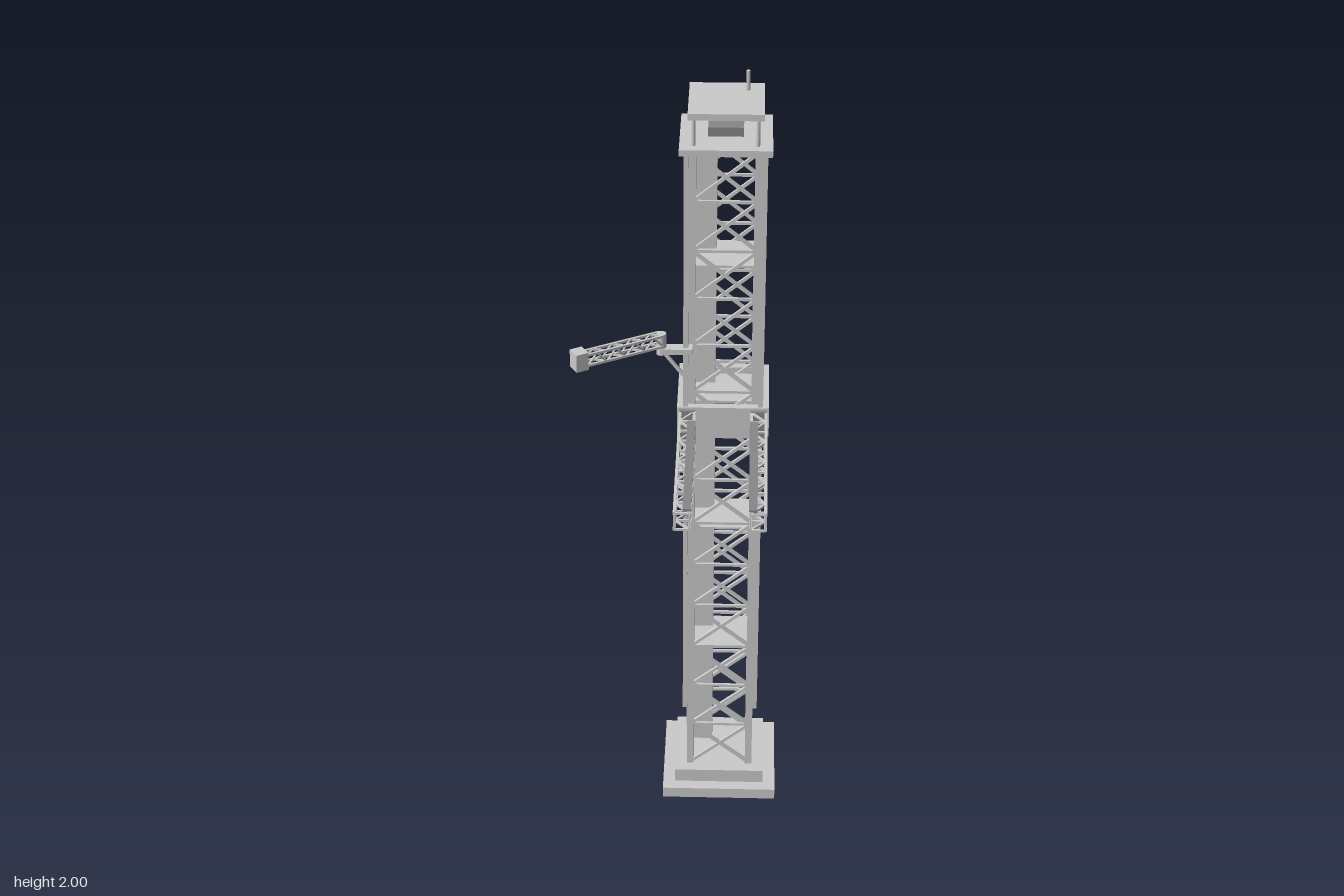
import * as THREE from 'three';

const grey = new THREE.MeshStandardMaterial({ color: 0xcccccc, flatShading: true });
const dark = new THREE.MeshStandardMaterial({ color: 0x888888, flatShading: true });
const CX = 0.106, CZ = -0.217; // tower axis
const V = (x, y, z) => new THREE.Vector3(x, y, z);

export function createModel() {
  const model = new THREE.Group();

  const group = (name, parent = model) => {
    const g = new THREE.Group();
    g.name = name;
    parent.add(g);
    return g;
  };
  // box given by its minimum and maximum on each axis
  const box = (parent, name, x0, x1, y0, y1, z0, z1, mat = grey) => {
    const m = new THREE.Mesh(new THREE.BoxGeometry(x1 - x0, y1 - y0, z1 - z0), mat);
    m.position.set((x0 + x1) / 2, (y0 + y1) / 2, (z0 + z1) / 2);
    m.name = name;
    parent.add(m);
    return m;
  };
  // square slab centred on the tower axis
  const slab = (parent, name, half, y0, y1, halfZ = half) =>
    box(parent, name, CX - half, CX + half, y0, y1, CZ - halfZ, CZ + halfZ);
  // square bar between two points
  const beam = (parent, name, a, b, t) => {
    const m = new THREE.Mesh(new THREE.BoxGeometry(t, t, a.distanceTo(b)), grey);
    m.position.copy(a).lerp(b, 0.5);
    m.lookAt(b);
    m.name = name;
    parent.add(m);
  };
  const rod = (parent, name, x, z, y0, y1, r, sides = 10) => {
    const m = new THREE.Mesh(new THREE.CylinderGeometry(r, r, y1 - y0, sides), grey);
    m.position.set(x, (y0 + y1) / 2, z);
    m.name = name;
    parent.add(m);
  };

  // stepped foundation
  const base = group('base');
  slab(base, 'basePlate', 0.15, 0, 0.03);
  slab(base, 'baseStep', 0.118, 0.03, 0.068);

  // lattice tower: four legs, cross-braced bays on every side
  const tower = group('tower');
  const H = 0.078, Y0 = 0.068, Y1 = 1.85, BAYS = 14, pitch = (Y1 - Y0) / BAYS;
  const corners = [[-1, -1], [1, -1], [1, 1], [-1, 1]].map(([i, j]) => [CX + i * H, CZ + j * H]);
  corners.forEach(([x, z], k) => {
    box(tower, 'towerLeg', x - 0.009, x + 0.009, Y0, Y1, z - 0.009, z + 0.009);
    const [u, w] = corners[(k + 1) % 4];
    for (let i = 0; i < BAYS; i++) {
      const a = Y0 + i * pitch, b = a + pitch;
      beam(tower, 'crossBrace', V(x, a, z), V(u, b, w), 0.008);
      beam(tower, 'crossBrace', V(x, b, z), V(u, a, w), 0.008);
      beam(tower, 'girt', V(x, b, z), V(u, b, w), 0.007);
    }
  });
  for (const y of [0.44, 0.81, 1.18, 1.55]) slab(tower, 'innerPlatform', 0.07, y - 0.003, y + 0.003);
  box(tower, 'innerShaft', 0.035, 0.085, Y0, Y1, -0.29, -0.24);
  box(tower, 'cornerDuct', 0.013, 0.031, Y0, Y1, -0.322, -0.304);
  for (const x of [0.014, 0.198])
    box(tower, 'frontRail', x - 0.006, x + 0.006, 0.27, Y1, -0.121, -0.109);
  for (const x of [0.014, 0.198])
    for (const y of [0.3, 0.68, 1.05, 1.3, 1.7])
      box(tower, 'railClip', x - 0.006, x + 0.006, y, y + 0.012, -0.135, -0.115);

  // head of the tower: deck, posts, roof, lamp box and mast
  const head = group('towerHead');
  slab(head, 'topDeck', 0.109, 1.85, 1.866);
  for (const x of [0.03, 0.18])
    for (const z of [-0.29, -0.137]) rod(head, 'roofPost', x, z, 1.866, 1.936, 0.005);
  box(head, 'roof', 0.017, 0.194, 1.936, 1.952, -0.309, -0.117);
  box(head, 'roofUnit', 0.065, 0.147, 1.91, 1.932, -0.135, -0.088, dark);
  rod(head, 'mast', 0.155, -0.267, 1.95, 2, 0.005);

  // sliding collar around the tower
  const collar = group('collar');
  const O = 0.113, I = 0.094, C0 = 1.108, C1 = 1.187;
  for (const s of [-1, 1]) {
    const xc = CX + s * (O + I) / 2, zc = CZ + s * (O + I) / 2, t = (O - I) / 2;
    box(collar, 'collarSide', xc - t, xc + t, C0, C1, CZ - O, CZ + O);
    box(collar, 'collarEnd', CX - I, CX + I, C0, C1, zc - t, zc + t);
  }
  box(collar, 'collarBackBox', 0.052, 0.16, 1.13, 1.182, -0.357, CZ - O);

  // pair of tapered truss arms reaching forward
  const N = 10, Z0 = -0.1, Z1 = 0.362;
  for (const s of [-1, 1]) {
    const arm = group(s < 0 ? 'rightCarryArm' : 'leftCarryArm');
    const xo = CX + s * 0.105, xi = CX + s * 0.07; // outer and inner chord
    const top = t => 1.177 - 0.004 * t;
    const low = t => 1.084 + 0.046 * t;
    const at = (x, f, t) => V(x, f(t), Z0 + (Z1 - Z0) * t);
    for (const x of [xo, xi])
      for (const f of [top, low]) beam(arm, 'armChord', at(x, f, 0), at(x, f, 1), 0.007);
    for (let i = 0; i < N; i++) {
      const a = i / N, b = (i + 1) / N;
      for (const x of [xo, xi]) {
        beam(arm, 'armDiagonal', at(x, i % 2 ? top : low, a), at(x, i % 2 ? low : top, b), 0.005);
        beam(arm, 'armUpright', at(x, low, b), at(x, top, b), 0.005);
      }
      for (const f of [top, low]) {
        beam(arm, 'armLacing', at(i % 2 ? xo : xi, f, a), at(i % 2 ? xi : xo, f, b), 0.005);
        beam(arm, 'armCrossTie', at(xo, f, b), at(xi, f, b), 0.005);
      }
    }
    // tapered web plate on the inner side
    const web = new THREE.Shape([[Z0, low(0)], [Z1, low(1)], [Z1, top(1)], [Z0, top(0)]]
      .map(p => new THREE.Vector2(-p[0], p[1])));
    const plate = new THREE.Mesh(new THREE.ExtrudeGeometry(web, { depth: 0.004, bevelEnabled: false }), grey);
    plate.rotation.y = Math.PI / 2;
    plate.position.x = xi - 0.002;
    plate.name = 'armWeb';
    arm.add(plate);
    const xs = CX + s * 0.076;
    box(arm, 'armPad', xs - 0.01, xs + 0.01, 1.174, 1.182, -0.05, 0.357, dark);
    const xm = CX + s * 0.0875;
    box(arm, 'armMount', xm - 0.02, xm + 0.02, 1.082, 1.182, -0.108, -0.094, dark);
  }

  // swinging side arm on a bracket
  const swing = group('swingArm');
  box(swing, 'swingBracket', -0.045, 0.03, 1.335, 1.349, -0.13, -0.1);
  beam(swing, 'bracketBrace', V(-0.04, 1.335, -0.115), V(0.014, 1.265, -0.115), 0.008);
  rod(swing, 'pivot', -0.045, -0.115, 1.33, 1.386, 0.012, 16);
  const truss = group('swingTruss', swing);
  truss.position.set(-0.045, 1.369, -0.115);
  truss.rotation.y = Math.PI + Math.PI / 6; // local +x points outwards
  const L = 0.205, W = 0.011, T = 0.014, M = 8;
  for (const i of [-1, 1])
    for (const j of [-1, 1]) box(truss, 'trussChord', 0, L, i * T - 0.003, i * T + 0.003, j * W - 0.003, j * W + 0.003);
  const brace = (a, b) => {
    const m = new THREE.Mesh(new THREE.BoxGeometry(0.004, 0.004, a.distanceTo(b)), grey);
    m.position.copy(a).lerp(b, 0.5);
    m.quaternion.setFromUnitVectors(V(0, 0, 1), b.clone().sub(a).normalize());
    m.name = 'trussLacing';
    truss.add(m);
  };
  for (let k = 0; k < M; k++) {
    const a = (L * k) / M, b = (L * (k + 1)) / M, d = k % 2 ? 1 : -1;
    for (const s of [-1, 1]) {
      brace(V(a, d * T, s * W), V(b, -d * T, s * W));
      brace(V(a, s * T, d * W), V(b, s * T, -d * W));
    }
  }
  box(truss, 'swingHead', L, L + 0.032, -0.022, 0.024, -0.018, 0.018);

  return model;
}
